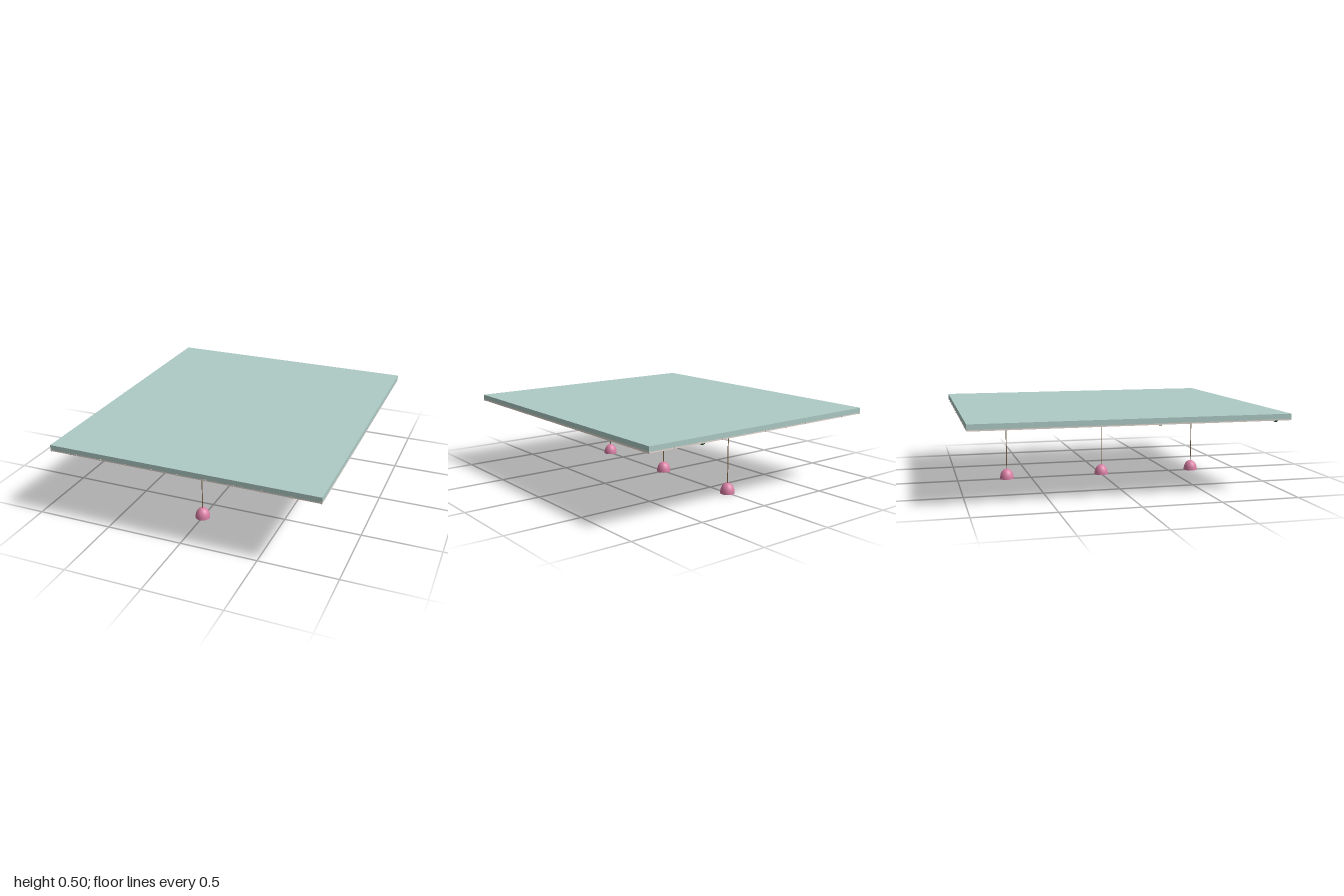
import * as THREE from 'three';

const material = (name, color, extra = {}) => {
  const m = new THREE.MeshStandardMaterial({ color, ...extra });
  m.name = name;
  return m;
};

export function createModel() {
  const root = new THREE.Group();
  root.name = 'ceiling';
  const teal = material('paleTeal', 0xaecbc6);
  const cream = material('cream', 0xe4d8d0);
  const brass = material('brass', 0x80684a);
  const pink = material('pink', 0xd97fa4, { side: THREE.DoubleSide });
  const glow = material('bulbWhite', 0xfff0dc);
  const green = material('leafGreen', 0x2a6638, { flatShading: true });

  const add = (parent, name, geometry, mat, x, y, z) => {
    const mesh = new THREE.Mesh(geometry, mat);
    mesh.name = name;
    mesh.position.set(x, y, z);
    parent.add(mesh);
    return mesh;
  };

  // Ceiling panel
  const W = 1.752, L = 1.996;
  add(root, 'ceilingPanel', new THREE.BoxGeometry(W, 0.033, L), teal, 0, 0.4885, 0);

  // Lattice of thin battens under the panel
  const lattice = new THREE.Group();
  lattice.name = 'lattice';
  root.add(lattice);
  const t = 0.012, cells = 10;
  const longBar = new THREE.BoxGeometry(t, 0.011, 2);
  const crossBar = new THREE.BoxGeometry(W, 0.01, t);
  for (let i = 0; i <= cells; i++) {
    const f = i / cells - 0.5;
    add(lattice, 'longBatten', longBar, cream, f * (W - t), 0.4695, 0);
    add(lattice, 'crossBatten', crossBar, cream, 0, 0.47, f * (L - t));
  }

  // Three pendant lamps along the centre line
  const profile = [new THREE.Vector2(0.047, 0)];
  for (let i = 0; i <= 8; i++) {
    const a = (i / 8) * Math.PI / 2;
    profile.push(new THREE.Vector2(0.047 * Math.cos(a), 0.006 + 0.063 * Math.sin(a)));
  }
  const shade = new THREE.LatheGeometry(profile, 20);
  const cord = new THREE.CylinderGeometry(0.003, 0.003, 0.4, 8);
  const rose = new THREE.CylinderGeometry(0.023, 0.023, 0.006, 16);
  const bulb = new THREE.SphereGeometry(0.017, 12, 8);
  for (const z of [-0.667, 0, 0.667]) {
    const lamp = new THREE.Group();
    lamp.name = 'pendantLamp';
    lamp.position.z = z;
    root.add(lamp);
    add(lamp, 'lampShade', shade, pink, 0, 0, 0);
    add(lamp, 'lampCord', cord, brass, 0, 0.265, 0);
    add(lamp, 'ceilingRose', rose, brass, 0, 0.463, 0);
    add(lamp, 'lampBulb', bulb, glow, 0, 0.022, 0);
  }

  // Scattered leaf tufts hanging from the lattice
  const tuft = new THREE.IcosahedronGeometry(0.02, 1);
  const spots = [
    [0.595, -0.83], [0.54, -0.91], [0.455, -0.94], [0.405, -0.89], [0.64, -0.595], [0.625, -0.205],
    [0.64, -0.15], [0.455, -0.24], [-0.52, -0.775], [-0.605, -0.455], [-0.6, -0.435], [-0.405, -0.245],
    [-0.455, 0.31], [-0.535, 0.29], [-0.65, 0.13], [-0.735, 0.19], [-0.61, 0.61], [-0.76, 0.95],
  ];
  spots.forEach(([x, z], i) => {
    add(root, 'leafTuft', tuft, green, x, 0.458, z).rotation.y = i * 1.3;
  });
  return root;
}
